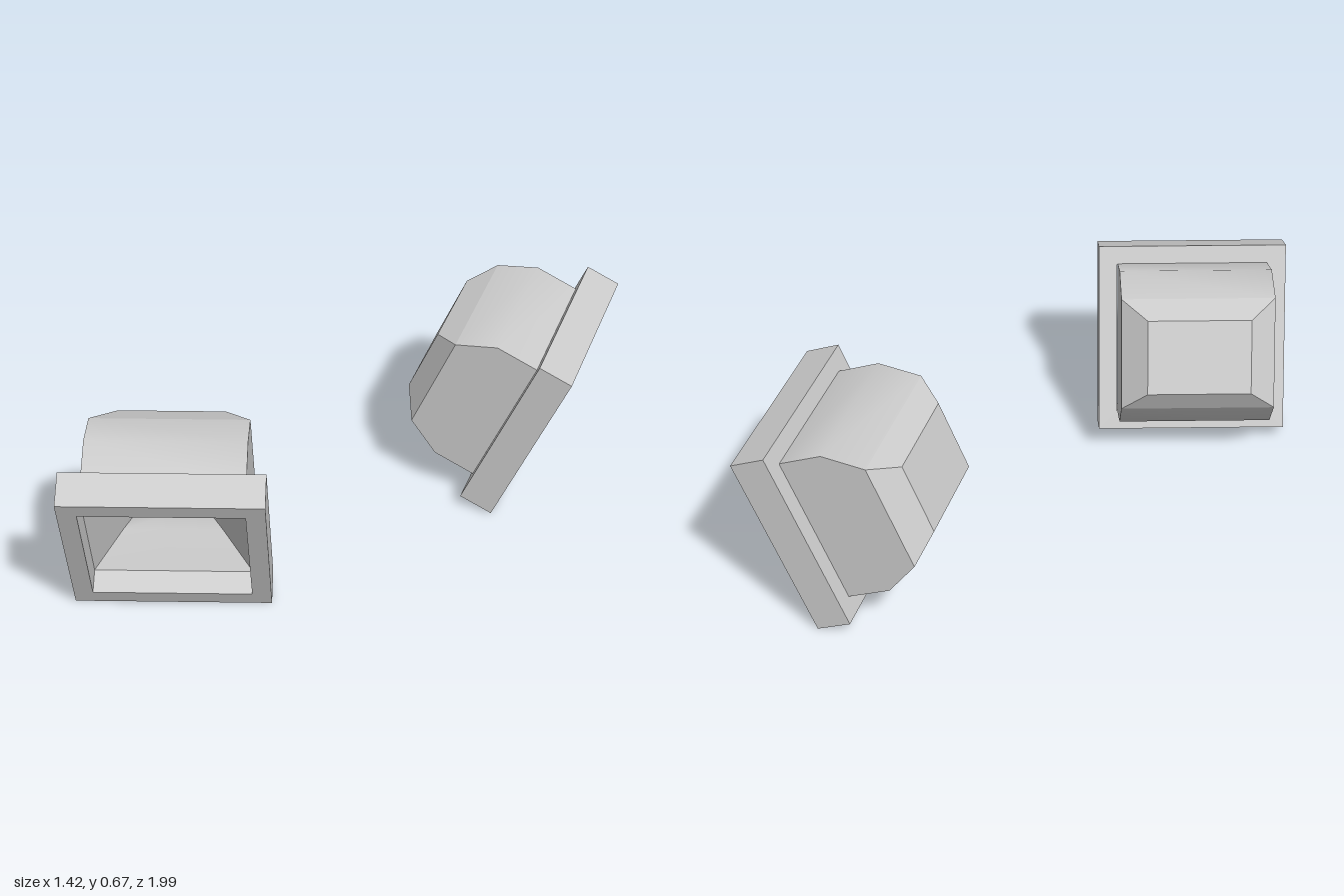
import * as THREE from 'three';
import { toCreasedNormals } from 'three/addons/utils/BufferGeometryUtils.js';

const material = new THREE.MeshStandardMaterial({ color: 0xcccccc });

// Skin of rectangular rings [halfWidth, halfHeight, z], ordered front to back.
function loft(rings, { inward = false, cap = false, crease = 0.6 } = {}) {
  const positions = [];
  const index = [];
  const quad = (a, b, c, d) => index.push(...(inward ? [a, d, c, a, c, b] : [a, b, c, a, c, d]));
  for (const [w, h, z] of rings) {
    positions.push(-w, -h, z, w, -h, z, w, h, z, -w, h, z);
  }
  for (let r = 0; r < rings.length - 1; r++) {
    for (let i = 0; i < 4; i++) {
      const j = (i + 1) % 4;
      quad(r * 4 + i, r * 4 + 4 + i, r * 4 + 4 + j, r * 4 + j);
    }
  }
  if (cap) {
    const k = (rings.length - 1) * 4;
    quad(k, k + 3, k + 2, k + 1);
  }
  const geometry = new THREE.BufferGeometry();
  geometry.setAttribute('position', new THREE.Float32BufferAttribute(positions, 3));
  geometry.setIndex(index);
  return toCreasedNormals(geometry, crease);
}

function frameGeometry(half, hole, depth) {
  const square = (Type, s) => new Type([[-s, -s], [s, -s], [s, s], [-s, s]].map(([x, y]) => new THREE.Vector2(x, y)));
  const shape = square(THREE.Shape, half);
  shape.holes.push(square(THREE.Path, hole));
  return new THREE.ExtrudeGeometry(shape, { depth, bevelEnabled: false }).translate(0, 0, -depth);
}

// One lamp, its open face centred on the origin and facing +z
function createLamp(name) {
  const lamp = new THREE.Group();
  lamp.name = name;
  const add = (partName, geometry) => {
    const mesh = new THREE.Mesh(geometry, material);
    mesh.name = partName;
    lamp.add(mesh);
  };

  // Square rim around the opening
  add('frontFrame', frameGeometry(0.335, 0.27, 0.125));

  // Housing: flat sides, top and bottom curving in towards the back
  add('housing', loft([[0.268, 0.272, -0.12], [0.268, 0.272, -0.28], [0.268, 0.195, -0.41]]));

  // Bevelled back with a flat panel
  add('backCover', loft([[0.268, 0.195, -0.41], [0.18, 0.13, -0.48]], { cap: true, crease: 0.1 }));

  // Funnel-shaped reflector inside the opening
  add('reflector', loft(
    [[0.27, 0.27, -0.085], [0.17, 0.17, -0.19], [0.1, 0.11, -0.26]],
    { inward: true, cap: true, crease: 0.9 },
  ));
  return lamp;
}

export function createModel() {
  const model = new THREE.Group();
  model.name = 'floodlights';
  const tilt = 0.4;
  const placements = [
    ['frontLamp', [-0.28, 0.31, 0.73], 24.7],
    ['rearLamp', [0.54, 0.31, -0.652], 96.9],
  ];
  for (const [name, position, yaw] of placements) {
    const lamp = createLamp(name);
    lamp.position.set(...position);
    lamp.rotation.set(tilt, THREE.MathUtils.degToRad(yaw), 0, 'YXZ');
    model.add(lamp);
  }
  return model;
}
